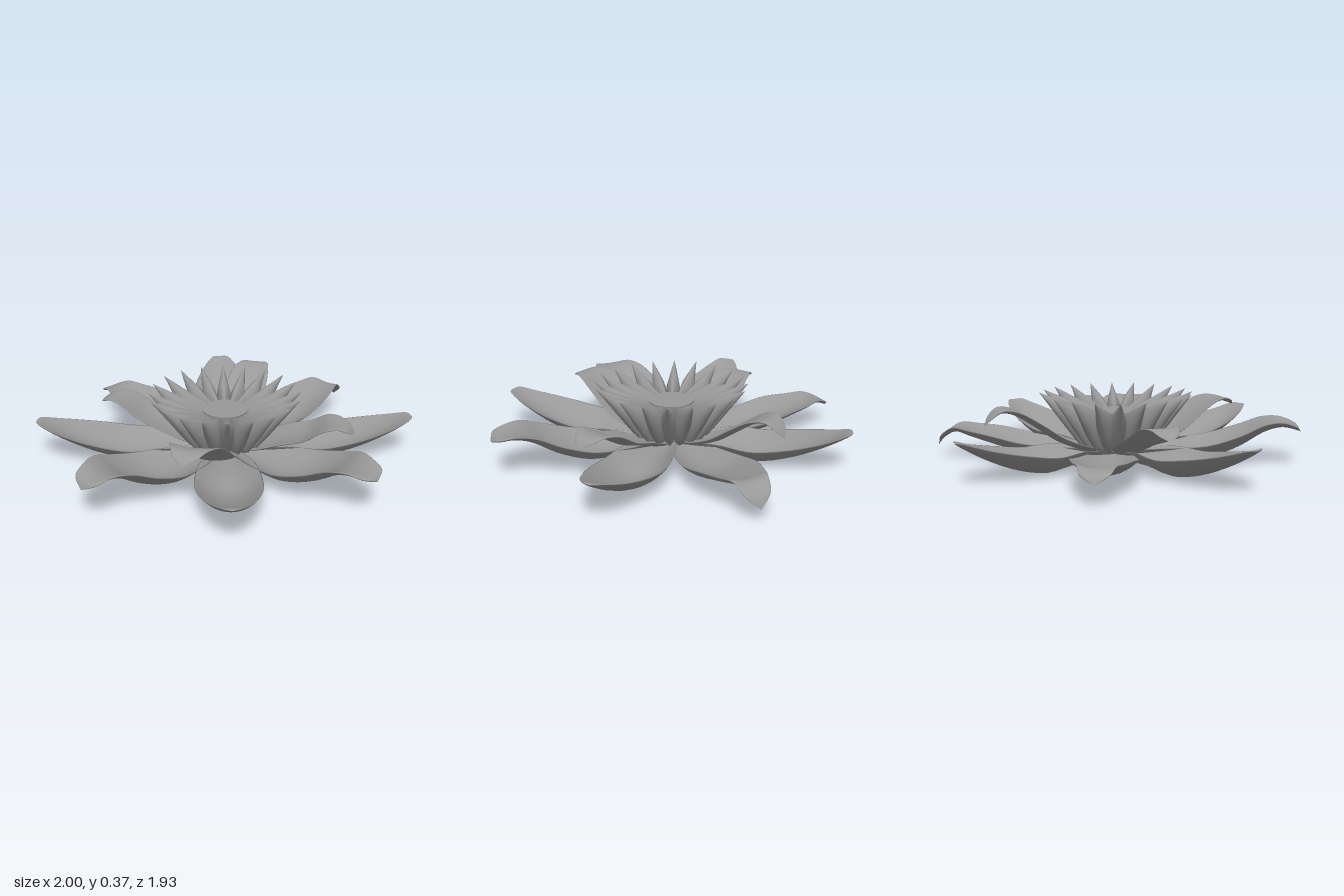
import * as THREE from 'three';

const material = new THREE.MeshStandardMaterial({ color: 0x999999, side: THREE.DoubleSide });

// Skin closed rings of equal point count, running outward along +x
function loft(rings) {
  const n = rings[0].length, pos = [], index = [];
  rings.forEach(ring => ring.forEach(p => pos.push(...p)));
  for (let i = 0; i < rings.length - 1; i++) {
    for (let j = 0; j < n; j++) {
      const a = i * n + j, b = i * n + (j + 1) % n;
      index.push(a, b, a + n, b, b + n, a + n);
    }
  }
  const geo = new THREE.BufferGeometry();
  geo.setAttribute('position', new THREE.Float32BufferAttribute(pos, 3));
  geo.setIndex(index);
  geo.computeVertexNormals();
  return geo;
}

// Petal: profile rows are [radius, keel height, half width]; cup lifts the edges, less so at the tip
function petalGeometry(profile, cup, thickness, bend = 0) {
  const curve = new THREE.CatmullRomCurve3(profile.map(p => new THREE.Vector3(...p)));
  const rings = [], steps = 32, sides = 28;
  const end = profile[profile.length - 1][0];
  for (let i = 0; i <= steps; i++) {
    const p = curve.getPoint(i / steps), w = Math.max(0, p.z);
    const th = thickness * Math.min(1, w / 0.06);
    const lift = cup * w * (1 - 0.75 * (p.x / end) ** 4);
    const ring = [];
    for (let j = 0; j < sides; j++) {
      const a = j / sides * Math.PI * 2, u = Math.sin(a);
      ring.push([p.x, p.y + lift * u * u + th * (1 + Math.cos(a)), w * u + bend * (p.x / end) ** 2]);
    }
    rings.push(ring);
  }
  return loft(rings);
}

function addMesh(group, name, geometry, degrees = 0) {
  const mesh = new THREE.Mesh(geometry, material);
  mesh.name = name;
  mesh.rotation.y = -degrees * Math.PI / 180;
  group.add(mesh);
  return mesh;
}

// Long petals on the axes, sweeping up to a pointed tip
function straightPetal(s) {
  return petalGeometry([
    [0, 0.03, 0], [0.02, 0.025, 0.045], [0.14 * s, 0.025, 0.085], [0.32 * s, 0.025, 0.14],
    [0.5 * s, 0.01, 0.167], [0.68 * s, 0.055, 0.158], [0.84 * s, 0.125, 0.118],
    [0.94 * s, 0.18, 0.075], [0.985 * s, 0.208, 0.042], [s, 0.22, 0],
  ], 0.6, 0.01);
}

// Diagonal petals, whose tips level out or droop
function curledPetal(width, crest, tip) {
  return petalGeometry([
    [0, 0.04, 0], [0.02, 0.035, 0.04], [0.15, 0.035, 0.09], [0.32, 0.03, 0.8 * width],
    [0.49, 0.04, width], [0.65, 0.3 * crest + 0.04, 0.97 * width], [0.78, crest - 0.025, 0.76 * width],
    [0.87, crest, 0.56 * width], [0.94, (crest + tip) / 2, 0.4 * width], [0.97, tip, 0],
  ], 0.45, 0.012);
}

// Short raised inner petals
function innerPetal(width, crest, tip, s) {
  return petalGeometry([
    [0.04, 0.06, 0], [0.06, 0.06, 0.04], [0.17, 0.075, 0.8 * width], [0.32, 0.13, width],
    [0.44 * s, crest - 0.08, width], [0.54 * s, crest - 0.015, 0.86 * width],
    [0.61 * s, crest, 0.62 * width], [0.66 * s, (crest + tip) / 2, 0.4 * width], [0.69 * s, tip, 0],
  ], 0.22, 0.01, 0.03);
}

// Pointed stamen: rows are [radius, bottom, top, half width]
function stamenGeometry() {
  const rows = [[0.09, 0.17, 0.18, 0], [0.09, 0.07, 0.27, 0.018], [0.15, 0.075, 0.287, 0.027],
    [0.2, 0.1, 0.304, 0.035], [0.25, 0.165, 0.322, 0.039], [0.32, 0.26, 0.346, 0.022],
    [0.405, 0.375, 0.375, 0]];
  return loft(rows.map(([r, lo, hi, w]) => Array.from({ length: 10 }, (_, j) => {
    const a = j / 10 * Math.PI * 2;
    return [r, (lo + hi) / 2 + (hi - lo) / 2 * Math.cos(a), w * Math.sin(a)];
  })));
}

export function createModel() {
  const model = new THREE.Group();
  model.name = 'waterLily';

  const outer = new THREE.Group();
  outer.name = 'outerPetals';
  model.add(outer);
  [1, 0.965, 1, 0.965].forEach((len, i) => addMesh(outer, 'straightPetal', straightPetal(len), i * 90));
  // Half width, crest height and tip height of each diagonal petal
  [[0.19, 0.205, 0.2], [0.19, 0.205, 0.18], [0.16, 0.14, 0.11], [0.16, 0.15, 0.075]]
    .forEach((p, i) => addMesh(outer, 'curledPetal', curledPetal(...p), 45 + i * 90));

  // Half width, crest height, tip height and length factor of each inner petal
  const inner = new THREE.Group();
  inner.name = 'innerPetals';
  model.add(inner);
  [[0.14, 0.25, 0.22, 1], [0.14, 0.3, 0.275, 1], [0.125, 0.265, 0.235, 1.03], [0.115, 0.3, 0.235, 1.03]]
    .forEach((p, i) => addMesh(inner, 'innerPetal', innerPetal(...p), 16 + i * 90));

  // Ring of stamens around the central disc
  const stamens = new THREE.Group();
  stamens.name = 'stamens';
  model.add(stamens);
  const stamen = stamenGeometry();
  for (let i = 0; i < 20; i++) addMesh(stamens, 'stamen', stamen, i * 18);

  // Flat-topped core tapering down to the petal bases
  const core = addMesh(model, 'centerDisc', new THREE.CylinderGeometry(0.12, 0.07, 0.22, 32));
  core.position.y = 0.17;

  return model;
}
